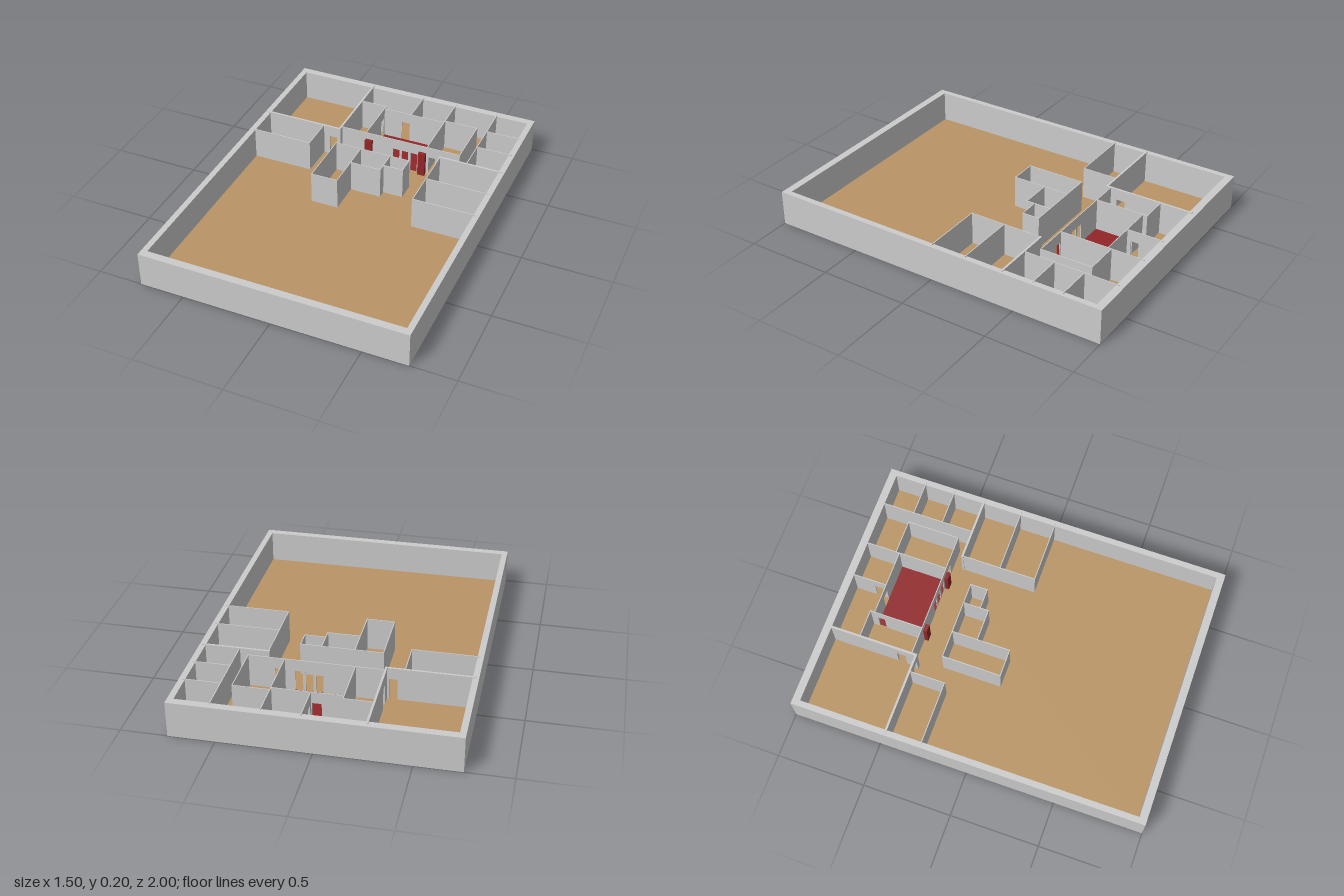
import * as THREE from 'three';

const FLOOR = 0.018, WALL_TOP = 0.205, DOOR_TOP = 0.14, THIN = 0.005, THICK = 0.012;

const grey = new THREE.MeshStandardMaterial({ color: 0xcccccc });
const wood = new THREE.MeshStandardMaterial({ color: 0xb99465 });
const red = new THREE.MeshStandardMaterial({ color: 0x922628 });

// Box given by its limits on each axis
function block(name, material, x0, x1, y0, y1, z0, z1) {
  const mesh = new THREE.Mesh(new THREE.BoxGeometry(x1 - x0, y1 - y0, z1 - z0), material);
  mesh.position.set((x0 + x1) / 2, (y0 + y1) / 2, (z0 + z1) / 2);
  mesh.name = name;
  return mesh;
}

// Partition along x or z; doors are [start, end] spans along its run
function partition(name, axis, at, from, to, doors = [], t = THIN) {
  const group = new THREE.Group();
  group.name = name;
  const piece = (part, a, b, y0) => group.add(axis === 'x'
    ? block(part, grey, a, b, y0, WALL_TOP, at - t / 2, at + t / 2)
    : block(part, grey, at - t / 2, at + t / 2, y0, WALL_TOP, a, b));
  let start = from - t / 2;
  for (const [a, b] of doors) {
    piece('wallPanel', start, a, FLOOR);
    piece('doorLintel', a, b, DOOR_TOP);
    start = b;
  }
  piece('wallPanel', start, to + t / 2, FLOOR);
  return group;
}

// Outer wall ring
function outerWalls() {
  const rect = (path, x, z) => path.moveTo(-x, -z).lineTo(x, -z).lineTo(x, z).lineTo(-x, z).closePath();
  const shape = rect(new THREE.Shape(), 0.75, 1);
  shape.holes.push(rect(new THREE.Path(), 0.717, 0.957));
  const geometry = new THREE.ExtrudeGeometry(shape, { depth: 0.2, bevelEnabled: false });
  geometry.rotateX(-Math.PI / 2);
  const mesh = new THREE.Mesh(geometry, grey);
  mesh.name = 'outerWalls';
  return mesh;
}

export function createModel() {
  const model = new THREE.Group();
  model.name = 'floorPlan';

  // Shell and floors
  model.add(outerWalls());
  model.add(block('baseSlab', grey, -0.717, 0.717, 0, 0.01, -0.957, 0.957));
  model.add(block('woodFloor', wood, -0.717, 0.717, 0.01, FLOOR, -0.957, 0.957));
  model.add(block('redFloor', red, -0.107, 0.267, FLOOR, FLOOR + 0.003, -0.762, -0.487));

  // Red panels on both sides of the main entrance
  for (const x of [-0.11, 0.222]) {
    model.add(block('entrancePanel', red, x, x + 0.043, FLOOR, 0.165, -0.482, -0.461));
  }

  // Back right corner: large room and the smaller one in front of it
  const cornerRooms = [
    ['x', -0.461, -0.73, -0.268, [[-0.33, -0.285]], THICK],
    ['z', -0.268, -0.97, -0.461, [[-0.575, -0.525]], THICK],
    ['x', -0.258, -0.73, -0.368],
    ['z', -0.368, -0.455, -0.258],
  ];

  // Red hall with its side rooms and the rooms behind it
  const hallRooms = [
    ['x', -0.79, -0.262, -0.11],
    ['x', -0.765, -0.11, 0.268, [[0.005, 0.055]]],
    ['x', -0.785, 0.268, 0.465],
    ['x', -0.486, -0.262, 0.465,
      [[0.06, 0.1], [0.115, 0.155], [0.17, 0.21], [0.28, 0.32]]],
    ['z', -0.11, -0.79, -0.486, [[-0.75, -0.71]]],
    ['z', 0.268, -0.97, -0.486],
    ['z', 0.465, -0.785, -0.486],
    ['z', 0.062, -0.97, -0.765, [[-0.835, -0.79]]],
  ];

  // Row of small rooms along the left wall
  const leftRooms = [
    ['z', 0.528, -0.97, -0.425],
    ['x', -0.778, 0.528, 0.73],
    ['x', -0.605, 0.528, 0.73],
    ['x', -0.425, 0.37, 0.73, [], THICK],
    ['z', 0.37, -0.425, 0.003],
    ['x', -0.202, 0.37, 0.73],
    ['x', 0.003, 0.37, 0.73],
  ];

  // Free-standing cluster in the middle
  const middleRooms = [
    ['x', -0.322, -0.228, 0.222],
    ['z', -0.228, -0.322, 0.012],
    ['z', -0.074, -0.322, 0.012],
    ['x', 0.012, -0.228, -0.074],
    ['x', -0.176, -0.074, 0.106],
    ['z', 0.106, -0.322, -0.176],
    ['x', -0.224, 0.106, 0.222],
    ['z', 0.222, -0.322, -0.224],
  ];

  for (const [name, walls] of Object.entries({ cornerRooms, hallRooms, leftRooms, middleRooms })) {
    const group = new THREE.Group();
    group.name = name;
    for (const wall of walls) group.add(partition('partition', ...wall));
    model.add(group);
  }
  return model;
}
